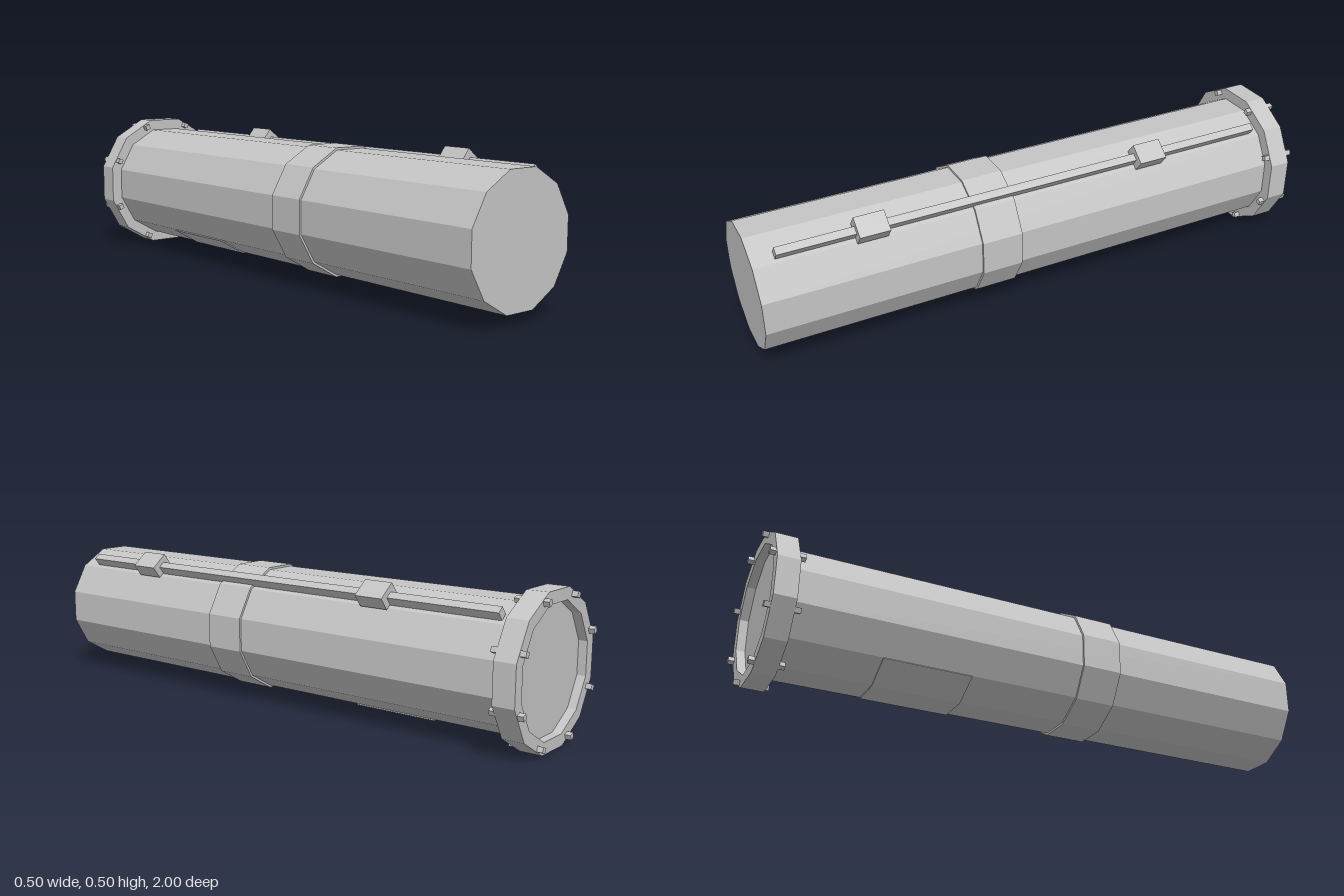
import * as THREE from 'three';

const SIDES = 12;
const AXIS_Y = 0.251;

// Corner points of a twelve-sided ring with flats at the top, given its distance to the flats
function ringPoints(flat) {
  const r = flat / Math.cos(Math.PI / SIDES);
  return Array.from({ length: SIDES }, (_, i) => {
    const a = ((i + 0.5) / SIDES) * Math.PI * 2;
    return new THREE.Vector2(r * Math.cos(a), r * Math.sin(a));
  });
}

// Prism along z from an outline, optionally hollow
function prism(outline, z0, z1, hole) {
  const shape = new THREE.Shape(outline);
  if (hole) shape.holes.push(new THREE.Path(hole));
  const geo = new THREE.ExtrudeGeometry(shape, { depth: z1 - z0, bevelEnabled: false });
  return geo.translate(0, 0, z0);
}

export function createModel() {
  const model = new THREE.Group();
  model.name = 'flangedTube';
  const metal = new THREE.MeshStandardMaterial({ color: 0xc5c5c5 });
  metal.name = 'light grey metal';

  const tube = new THREE.Group();
  tube.name = 'tube';
  tube.position.y = AXIS_Y;
  model.add(tube);

  const add = (name, geo, parent = tube) => {
    const mesh = new THREE.Mesh(geo, metal);
    mesh.name = name;
    parent.add(mesh);
    return mesh;
  };
  const box = (w, h, z0, z1) => new THREE.BoxGeometry(w, h, z1 - z0).translate(0, 0, (z0 + z1) / 2);

  // Main barrel, middle collar and hollow end flange
  add('barrel', prism(ringPoints(0.2115), -0.95, 1));
  add('collar', prism(ringPoints(0.219), 0.11, 0.255));
  add('flange', prism(ringPoints(0.251), -0.98, -0.905, ringPoints(0.211)));

  // Eight square bolts through the flange
  for (let i = 0; i < 8; i++) {
    const a = ((i + 0.5) / 8) * Math.PI * 2;
    const bolt = add('bolt', box(0.018, 0.018, -1, -0.885));
    bolt.position.set(0.242 * Math.sin(a), 0.242 * Math.cos(a), 0);
    bolt.rotation.z = -a;
  }

  // Side rail with two clamps, tilted to the upper left
  const rail = new THREE.Group();
  rail.name = 'railAssembly';
  rail.rotation.z = -THREE.MathUtils.degToRad(38.5);
  tube.add(rail);
  add('rail', box(0.027, 0.034, -0.87, 0.925).translate(-0.003, 0.234, 0), rail);
  for (const z of [0.613, -0.418]) {
    add('clamp', box(0.073, 0.05, z - 0.052, z + 0.052).translate(-0.003, 0.245, 0), rail);
  }

  // Thin plate hugging the bottom flat and the one to its right
  const outer = ringPoints(0.2155).slice(7, 10);
  const inner = ringPoints(0.2105).slice(7, 10).reverse();
  add('bottomPlate', prism([...outer, ...inner], -0.59, -0.28));

  return model;
}
